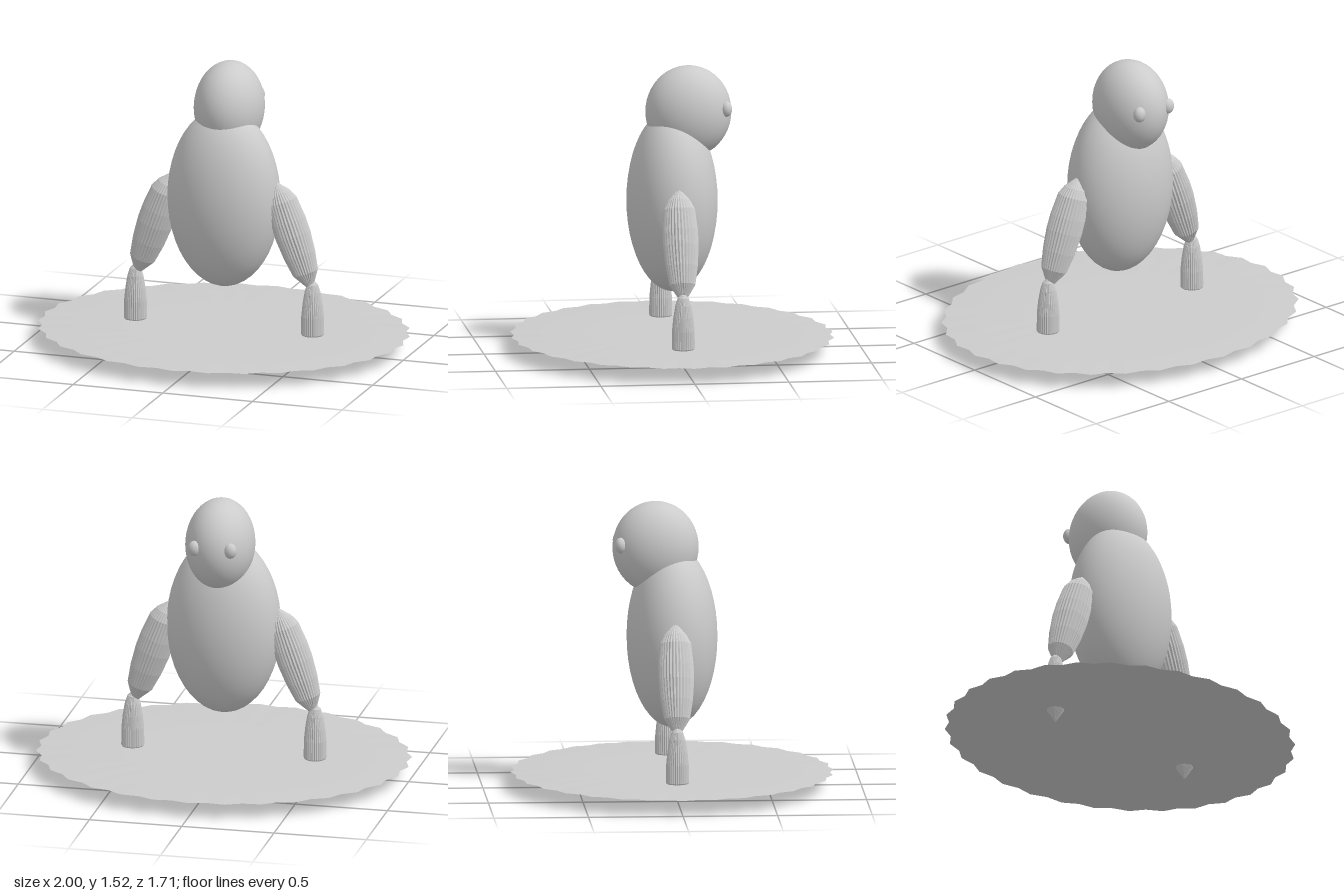
import * as THREE from 'three';

const FLUTES = 32;
const smooth = new THREE.MeshStandardMaterial({ color: 0xcccccc });
const faceted = new THREE.MeshStandardMaterial({ color: 0xcccccc, flatShading: true });

// Ellipsoid from centre and radii
function ellipsoid(name, center, radii, segments = 48) {
  const geometry = new THREE.SphereGeometry(1, segments, segments / 2).scale(...radii);
  const mesh = new THREE.Mesh(geometry, smooth);
  mesh.name = name;
  mesh.position.set(...center);
  return mesh;
}

// Lathed profile [radius, y] (bottom to top) with shallow flutes around it
function fluted(name, profile, depth) {
  const points = profile.map(([r, y]) => new THREE.Vector2(r, y));
  const geometry = new THREE.LatheGeometry(points, FLUTES * 2);
  const p = geometry.attributes.position;
  for (let i = 0; i < p.count; i++) {
    const angle = Math.atan2(p.getX(i), p.getZ(i));
    const k = 1 - depth * (0.5 - 0.5 * Math.cos(FLUTES * angle));
    p.setX(i, p.getX(i) * k);
    p.setZ(i, p.getZ(i) * k);
  }
  geometry.computeVertexNormals();
  const mesh = new THREE.Mesh(geometry, faceted);
  mesh.name = name;
  return mesh;
}

export function createModel() {
  const model = new THREE.Group();
  model.name = 'figure';

  // Body and head
  model.add(ellipsoid('body', [0, 0.81, 0], [0.305, 0.485, 0.24]));
  model.add(ellipsoid('head', [0, 1.285, -0.087], [0.183, 0.245, 0.228]));

  // Thin oval base with a scalloped rim
  const base = fluted('base', [
    [0, -0.0135], [0.55, -0.011], [0.82, -0.007], [1, 0],
    [0.82, 0.007], [0.55, 0.011], [0, 0.0135],
  ], 0.025);
  base.scale.z = 0.855;
  base.position.y = 0.0875;
  model.add(base);

  for (const side of [1, -1]) {
    const label = side > 0 ? 'left' : 'right';

    // Eye
    model.add(ellipsoid(label + 'Eye', [side * 0.097, 1.31, -0.277], [0.035, 0.042, 0.031], 24));

    // Upper arm, leaning outwards from the shoulder to the elbow
    const upper = fluted(label + 'UpperArm', [
      [0, -0.31], [0.025, -0.28], [0.069, -0.21], [0.086, -0.11], [0.095, 0],
      [0.094, 0.08], [0.083, 0.193], [0.06, 0.24], [0, 0.307],
    ], 0.05);
    upper.position.set(side * 0.385, 0.635, 0);
    upper.rotation.z = side * Math.atan2(0.205, 0.58);
    model.add(upper);

    // Forearm, ending in a point below the base
    const forearm = fluted(label + 'Forearm', [
      [0, 0.005], [0.045, 0.073], [0.061, 0.105], [0.06, 0.2],
      [0.053, 0.27], [0.042, 0.335], [0.029, 0.375], [0, 0.405],
    ], 0.05);
    forearm.position.x = side * 0.494;
    model.add(forearm);
  }
  return model;
}
